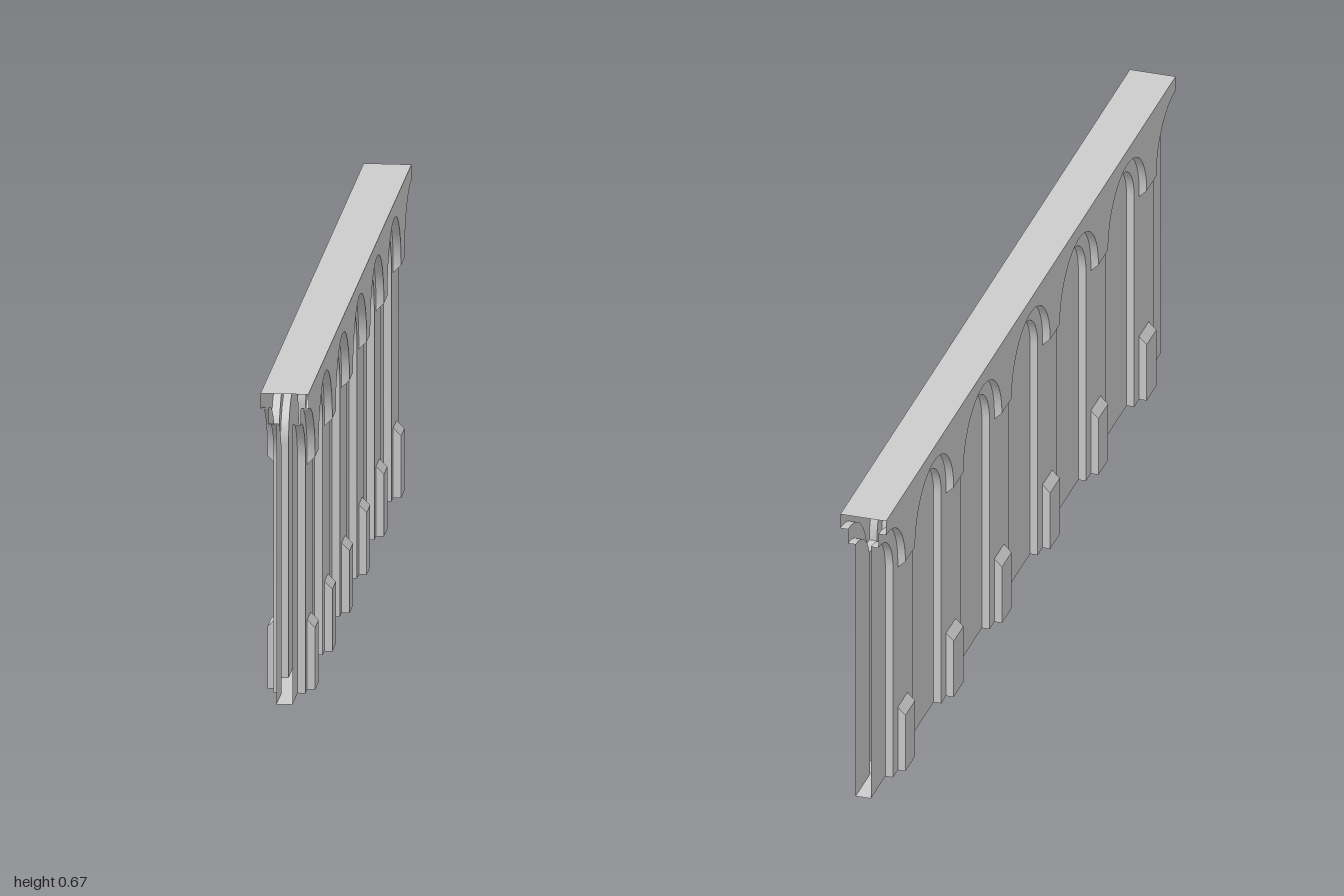
import * as THREE from 'three';

const BAY = 1 / 3, H = BAY / 2, BAYS = 6;
const R_IN = 0.1, R_OUT = 2 / 15, SPRING = 0.5, TOP = 2 / 3;
const D_PANEL = 1 / 60, D_PIER = 1 / 30, D_FACE = 0.05; // depths from the centre plane
const CORBEL_W = BAY - 2 * R_OUT, PIER_W = BAY - 2 * R_IN;

const mat = new THREE.MeshStandardMaterial({ color: 0xcccccc, side: THREE.DoubleSide });
const V = (x, y) => new THREE.Vector2(x, y);

// Quarter arch from the springing (next to the pier) up to the crown at the bay edge
function quarter(r, n = 16) {
  return Array.from({ length: n + 1 }, (_, i) => {
    const a = Math.PI * (1 - i / (2 * n));
    return V(H + r * Math.cos(a), SPRING + r * Math.sin(a));
  });
}
const mirror = (pts) => pts.map((p) => V(-p.x, p.y)).reverse();

function flat(points, depth) {
  return new THREE.ShapeGeometry(new THREE.Shape(points)).translate(0, 0, depth);
}

// Ribbon that follows an outline between two depths
function reveal(points, d0, d1) {
  const pos = [], idx = [];
  points.forEach((p, i) => {
    pos.push(p.x, p.y, d0, p.x, p.y, d1);
    if (i) {
      const a = 2 * (i - 1);
      idx.push(a, a + 2, a + 3, a, a + 3, a + 1);
    }
  });
  const g = new THREE.BufferGeometry();
  g.setAttribute('position', new THREE.Float32BufferAttribute(pos, 3));
  g.setIndex(idx);
  g.computeVertexNormals();
  return g;
}

// Side profile (depth, height) swept across the width of a corbel
function block(profile) {
  const shape = new THREE.Shape(profile.map(([d, y]) => V(d, y)));
  return new THREE.ExtrudeGeometry(shape, { depth: CORBEL_W, bevelEnabled: false })
    .translate(0, 0, -CORBEL_W / 2).rotateY(-Math.PI / 2);
}

function ground(w, d0, d1) {
  return new THREE.PlaneGeometry(w, d1 - d0).rotateX(Math.PI / 2).translate(0, 0, (d0 + d1) / 2);
}

export function createModel() {
  const inner = quarter(R_IN), outer = quarter(R_OUT);
  const jamb = [V(PIER_W / 2, 0), ...inner];
  const panel = [...jamb, V(H, 0)].reverse();

  // One bay: a pier with half an arched recess on each side
  const parts = [
    ['recessPanel', flat(panel, D_PANEL)],
    ['recessPanel', flat(mirror(panel), D_PANEL)],
    ['pier', flat([...jamb, ...outer.slice().reverse(), ...mirror(outer).reverse(), ...mirror(jamb)], D_PIER)],
    ['spandrel', flat([...outer, V(H, TOP), V(-H, TOP), ...mirror(outer)], D_FACE)],
    ['archReveal', reveal(jamb, D_PANEL, D_PIER)],
    ['archReveal', reveal(mirror(jamb), D_PANEL, D_PIER)],
    ['outerArchReveal', reveal(outer, D_PIER, D_FACE)],
    ['outerArchReveal', reveal(mirror(outer), D_PIER, D_FACE)],
    ['corbel', block([[D_PIER, SPRING], [D_PIER, SPRING - 1 / 60], [D_FACE, SPRING]])],
    ['pierBase', block([[D_PIER, 0], [D_FACE, 0], [D_FACE, 2 / 15], [D_PIER, 0.15]])],
    ['pierUnderside', ground(PIER_W, D_PANEL, D_PIER)],
    ['wallUnderside', ground(BAY, 0, D_PANEL)],
  ];

  const model = new THREE.Group();
  model.name = 'arcadedWall';

  // The same arcade on both faces of the wall
  for (const s of [1, -1]) {
    const side = new THREE.Group();
    side.name = s > 0 ? 'leftArcade' : 'rightArcade';
    side.rotation.y = s * Math.PI / 2;
    for (let i = 0; i < BAYS; i++) {
      const bay = new THREE.Group();
      bay.name = 'bay';
      bay.position.x = (i - (BAYS - 1) / 2) * BAY;
      for (const [name, geometry] of parts) {
        const mesh = new THREE.Mesh(geometry, mat);
        mesh.name = name;
        bay.add(mesh);
      }
      side.add(bay);
    }
    model.add(side);
  }

  // Flat top; the ends stay open so that wall sections can join
  const top = new THREE.Mesh(
    new THREE.PlaneGeometry(2 * D_FACE, 2).rotateX(-Math.PI / 2).translate(0, TOP, 0), mat);
  top.name = 'wallTop';
  model.add(top);
  return model;
}
